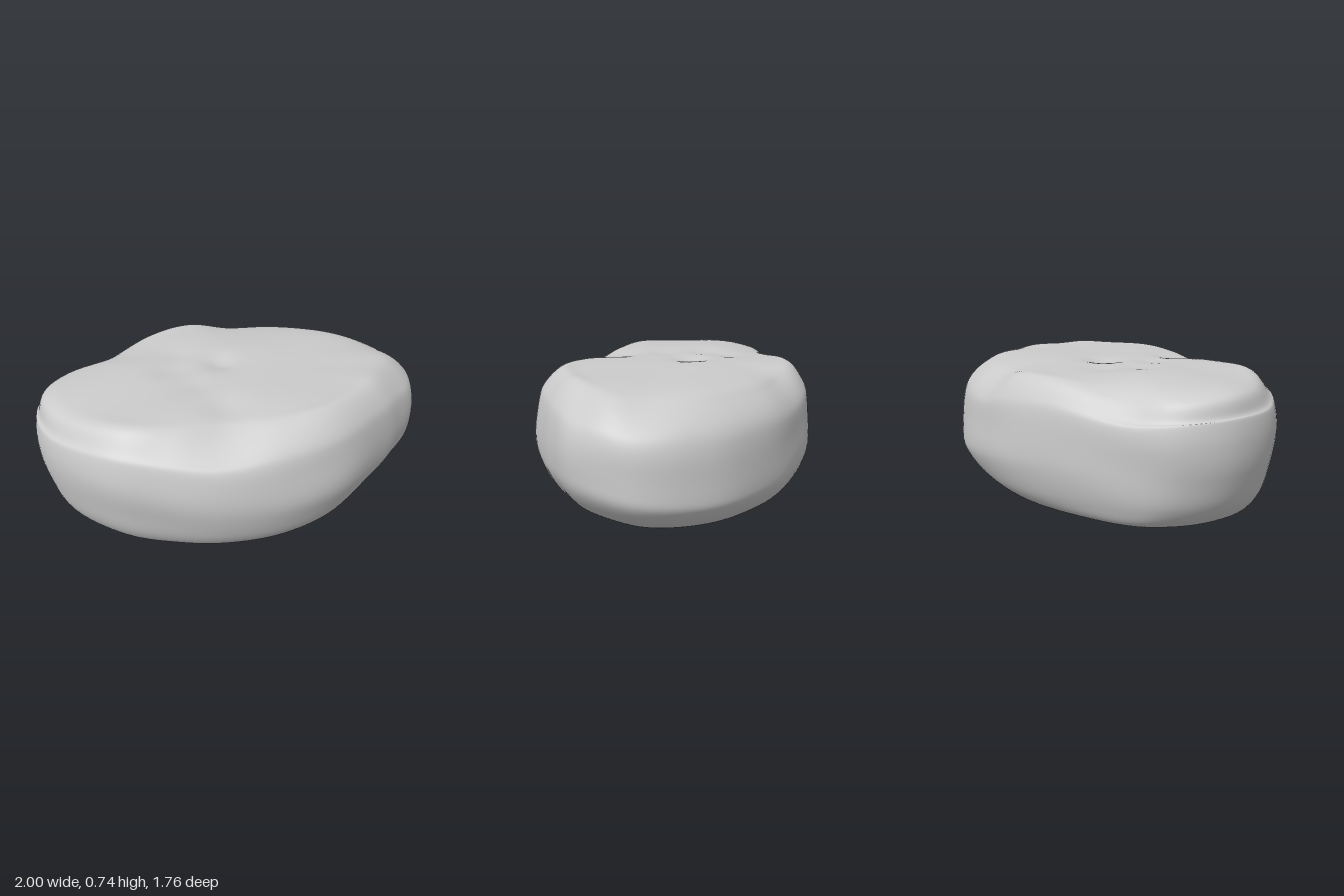
import * as THREE from 'three';

// Widest outline, counter-clockwise from above:
// x, z, height of widest point, top rim scale, top rim height, base rim scale
const OUTLINE = [
  [1.0, -0.35, 0.38, 0.80, 0.71, 0.63], [0.96, -0.55, 0.35, 0.84, 0.70, 0.63],
  [0.85, -0.71, 0.31, 0.84, 0.67, 0.66], [0.65, -0.83, 0.28, 0.83, 0.67, 0.67],
  [0.40, -0.885, 0.27, 0.83, 0.66, 0.68], [0.05, -0.84, 0.28, 0.83, 0.66, 0.72],
  [-0.25, -0.725, 0.32, 0.82, 0.66, 0.78], [-0.50, -0.575, 0.36, 0.84, 0.71, 0.80],
  [-0.70, -0.32, 0.38, 0.86, 0.71, 0.85], [-0.90, 0.02, 0.40, 0.86, 0.65, 0.89],
  [-1.0, 0.28, 0.45, 0.92, 0.66, 0.85], [-0.95, 0.55, 0.46, 0.94, 0.68, 0.84],
  [-0.75, 0.77, 0.45, 0.90, 0.69, 0.85], [-0.40, 0.875, 0.44, 0.85, 0.72, 0.84],
  [-0.10, 0.85, 0.42, 0.79, 0.70, 0.84], [0.20, 0.765, 0.39, 0.73, 0.68, 0.84],
  [0.50, 0.585, 0.37, 0.76, 0.71, 0.84], [0.74, 0.34, 0.37, 0.81, 0.73, 0.80],
  [0.89, 0.02, 0.37, 0.83, 0.73, 0.70], [0.95, -0.15, 0.38, 0.82, 0.73, 0.65],
];

// Shallow pits on the top: x, z, radius, depth
const PITS = [
  [-0.08, -0.03, 0.09, 0.024], [-0.32, 0.12, 0.11, 0.015],
  [-0.34, -0.05, 0.10, 0.012], [0.1, 0.4, 0.11, 0.016], [-0.12, 0.25, 0.10, 0.01],
];

const closedCurve = (pts) => new THREE.CatmullRomCurve3(pts, true, 'catmullrom', 0.5);

// Side profile from the base centre up to the top centre, as (scale, height)
function profile(waist, t, topY, b) {
  return new THREE.CatmullRomCurve3([
    [0, 0], [0.45 * b, 0], [0.85 * b, 0.002], [b, 0.024],
    [b + (1 - b) * 0.57, 0.29 * waist], [1 - (1 - b) * 0.08, 0.66 * waist], [1, waist],
    [1 - (1 - t) * 0.12, (waist + topY) / 2], [1 - (1 - t) * 0.38, topY - 0.085],
    [t, topY], [0.84 * t, topY + (0.737 - topY) * 0.65],
    [0.45 * t, 0.736], [0, 0.736],
  ].map(([s, y]) => new THREE.Vector3(s, y, 0)), false, 'catmullrom', 0.5);
}

// Pits and a faint unevenness in the top surface
function weatherTop(x, z, y) {
  const fade = THREE.MathUtils.smoothstep(y, 0.6, 0.72);
  const pits = PITS.reduce((h, [px, pz, r, d]) =>
    h + d * Math.exp(-((x - px) ** 2 + (z - pz) ** 2) / (r * r)), 0);
  return y - fade * (pits + 0.003 * Math.sin(7 * x + 2) * Math.sin(8 * z));
}

function stoneGeometry(cols = 144, rows = 120) {
  const rim = closedCurve(OUTLINE.map(([x, z, waist]) => new THREE.Vector3(x, waist, z)));
  const shape = closedCurve(OUTLINE.map(([, , , t, y, b]) => new THREE.Vector3(t, y, b)));
  const pos = [0, 0, 0];
  const index = [];
  const columns = [];
  for (let i = 0; i < cols; i++) {
    const edge = rim.getPoint(i / cols);
    const k = shape.getPoint(i / cols);
    columns.push({ edge, side: profile(edge.y, k.x, k.y, k.z) });
  }

  for (let j = 1; j < rows; j++) {
    for (const { edge, side } of columns) {
      const p = side.getPoint(j / rows);
      const y = Math.max(0, p.y);
      // Worn, mostly level hollows on the flanks
      const flank = Math.sin(Math.PI * THREE.MathUtils.clamp(y / 0.72, 0, 1));
      const x0 = edge.x * p.x, z0 = edge.z * p.x;
      const wave = Math.sin(16 * y + 1.5 * Math.sin(3 * x0) + 2 * z0) *
        (0.6 + 0.4 * Math.sin(5 * x0 - 4 * z0)) + 0.4 * Math.sin(8 * x0 + 6 * z0);
      const s = 1 + 0.007 * flank * (wave - 0.4);
      const x = x0 * s, z = z0 * s;
      pos.push(x, j > rows / 2 ? weatherTop(x, z, y) : y, z);
    }
  }
  pos.push(0, weatherTop(0, 0, 0.736), 0);

  const last = pos.length / 3 - 1;
  const id = (j, i) => 1 + j * cols + (i % cols);
  for (let i = 0; i < cols; i++) {
    index.push(0, id(0, i + 1), id(0, i));
    for (let j = 0; j < rows - 2; j++) {
      const a = id(j, i), b = id(j, i + 1), c = id(j + 1, i + 1), d = id(j + 1, i);
      index.push(a, b, c, a, c, d);
    }
    index.push(id(rows - 2, i), id(rows - 2, i + 1), last);
  }
  const geo = new THREE.BufferGeometry();
  geo.setAttribute('position', new THREE.Float32BufferAttribute(pos, 3));
  geo.setIndex(index);
  geo.computeVertexNormals();
  return geo;
}

export function createModel() {
  const group = new THREE.Group();
  group.name = 'rock';
  const stone = new THREE.Mesh(stoneGeometry(), new THREE.MeshStandardMaterial({ color: 0xcccccc }));
  stone.name = 'stone';
  group.add(stone);
  return group;
}
